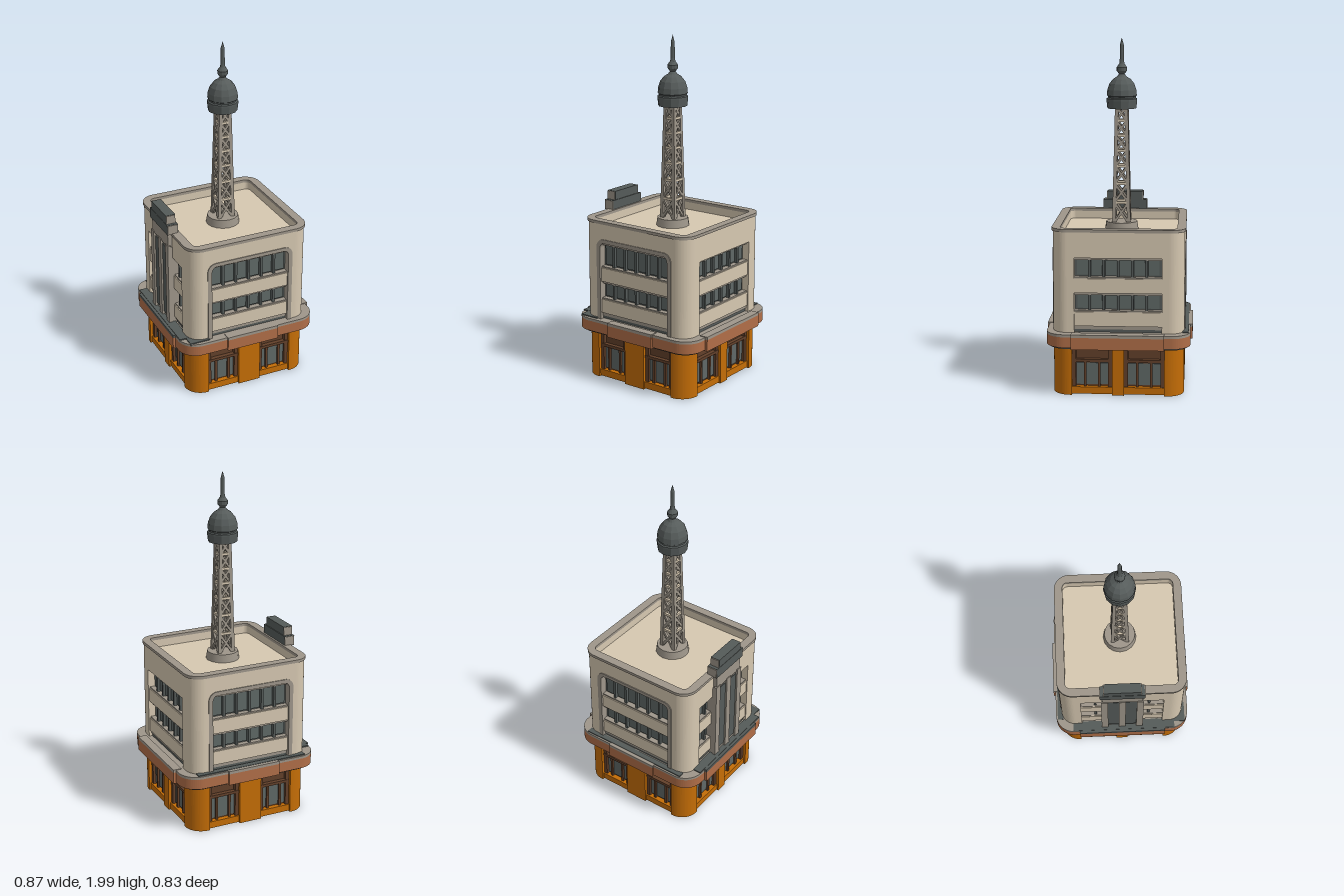
import * as THREE from 'three';

const mat = (name, color, side = THREE.FrontSide) => {
  const m = new THREE.MeshStandardMaterial({ color, side });
  m.name = name;
  return m;
};

export function createModel() {
  const wall = mat('beige wall', 0xd6c8b1);
  const trim = mat('taupe trim', 0x9e968a);
  const dark = mat('dark grey metal', 0x555b59);
  const orange = mat('orange ground floor', 0xc46d06);
  const canopyBrown = mat('brown canopy', 0xb06e48);
  const frameBrown = mat('dark brown frame', 0x62402a);
  const glass = mat('grey glass', 0x5f6866);
  const spireMat = mat('dark grey spire', 0x565c5b);
  spireMat.flatShading = true;

  const model = new THREE.Group();
  model.name = 'tower building';

  const add = (parent, name, geo, material, x = 0, y = 0, z = 0) => {
    const m = new THREE.Mesh(geo, material);
    m.name = name;
    m.position.set(x, y, z);
    parent.add(m);
    return m;
  };
  // Box given by its limits on each axis
  const box = (parent, name, material, x0, x1, y0, y1, z0, z1) =>
    add(parent, name, new THREE.BoxGeometry(x1 - x0, y1 - y0, z1 - z0), material,
      (x0 + x1) / 2, (y0 + y1) / 2, (z0 + z1) / 2);
  const group = (name, turn = 0) => {
    const g = new THREE.Group();
    g.name = name;
    g.rotation.y = turn * Math.PI / 2;
    model.add(g);
    return g;
  };
  const roundRect = (path, w, d, r) => {
    path.absarc(w - r, d - r, r, 0, Math.PI / 2);
    path.absarc(r - w, d - r, r, Math.PI / 2, Math.PI);
    path.absarc(r - w, r - d, r, Math.PI, Math.PI * 1.5);
    path.absarc(w - r, r - d, r, Math.PI * 1.5, Math.PI * 2);
    path.closePath();
    return path;
  };
  const upright = (shape, height) => new THREE.ExtrudeGeometry(shape,
    { depth: height, bevelEnabled: false, curveSegments: 8 }).rotateX(-Math.PI / 2);
  // Rounded square ring between two heights
  const ring = (name, material, w, d, r, inner, innerR, y0, y1) => {
    const s = roundRect(new THREE.Shape(), w, d, r);
    if (inner) s.holes.push(roundRect(new THREE.Path(), inner, inner, innerR));
    return add(model, name, upright(s, y1 - y0), material, 0, y0);
  };
  // Four rounded corner walls left between the openings
  const corners = (name, material, open, out, inn, r, y0, y1) => {
    const s = new THREE.Shape();
    s.moveTo(open, inn);
    s.lineTo(inn, inn);
    s.lineTo(inn, open);
    s.lineTo(out, open);
    s.absarc(out - r, out - r, r, 0, Math.PI / 2);
    s.lineTo(open, out);
    s.closePath();
    const geo = upright(s, y1 - y0);
    for (let i = 0; i < 4; i++) add(group(name, i), name, geo, material, 0, y0);
  };

  // Ground floor
  corners('groundCorner', orange, 0.26, 0.37, 0.31, 0.1, 0.01, 0.3);
  for (let i = 0; i < 4; i++) {
    const g = group('shopFront', i);
    const p = i % 2 ? 0.034 : 0.068;
    box(g, 'middlePillar', orange, -p, p, 0.01, 0.3, 0.31, 0.37);
    for (const s of [-1, 1]) {
      const c = s * (0.26 + p) / 2, h = (0.26 - p) / 2;
      box(g, 'windowBacking', frameBrown, c - h, c + h, 0.05, 0.3, 0.318, 0.33);
      box(g, 'sill', orange, c - h, c + h, 0.015, 0.055, 0.315, 0.36);
      box(g, 'transom', frameBrown, c - h, c + h, 0.198, 0.215, 0.325, 0.355);
      box(g, 'header', frameBrown, c - h, c + h, 0.275, 0.3, 0.32, 0.36);
      for (const side of [-1, 1]) {
        const e = c + side * (h - 0.011), m = c + side * 0.04;
        box(g, 'jamb', frameBrown, e - 0.011, e + 0.011, 0.05, 0.29, 0.325, 0.352);
        box(g, 'mullion', frameBrown, m - 0.007, m + 0.007, 0.05, 0.21, 0.325, 0.348);
      }
      box(g, 'pane', glass, c - h + 0.02, c + h - 0.02, 0.065, 0.19, 0.328, 0.336);
      box(g, 'innerPane', glass, c - h + 0.03, c + h - 0.03, 0.065, 0.19, 0.312, 0.32);
    }
  }

  // Canopy
  ring('canopySoffit', dark, 0.405, 0.39, 0.1, 0.3, 0.03, 0.288, 0.3);
  ring('canopyLiner', dark, 0.303, 0.303, 0.03, 0.296, 0.03, 0.288, 0.374);
  ring('canopyBand', canopyBrown, 0.42, 0.405, 0.11, 0.301, 0.03, 0.298, 0.358);
  ring('canopyTop', trim, 0.42, 0.405, 0.11, 0.301, 0.03, 0.358, 0.373);
  for (let i = 0; i < 4; i++) {
    const g = group('canopyPlate', i);
    const [w, z] = i % 2 ? [0.26, 0.435] : [0.16, 0.417];
    box(g, 'canopyPlateFace', canopyBrown, -w, w, 0.292, 0.36, z - 0.04, z);
    box(g, 'canopyPlateCap', i === 3 ? dark : trim, -w, w, 0.36, 0.377, z - 0.05, z);
  }
  box(model, 'sideGutter', dark, -0.418, -0.36, 0.365, 0.38, -0.3, 0.32);
  box(model, 'backGutter', dark, -0.34, 0.34, 0.365, 0.379, -0.395, -0.36);
  box(model, 'frontGutter', dark, -0.38, -0.26, 0.365, 0.379, 0.32, 0.385);

  // Upper walls, parapet and roof
  corners('wallCorner', wall, 0.245, 0.37, 0.315, 0.085, 0.36, 0.832);
  ring('upperWall', wall, 0.37, 0.37, 0.085, 0.327, 0.03, 0.83, 0.945);
  ring('parapetCap', trim, 0.376, 0.376, 0.09, 0.327, 0.03, 0.945, 0.962);
  ring('roof', wall, 0.335, 0.335, 0.03, 0, 0, 0.885, 0.9);

  // Window facades
  for (let i = 0; i < 4; i++) {
    const g = group('facade', i);
    const top = i % 2 ? 0.8 : 0.83;
    box(g, 'recess', dark, -0.25, 0.25, 0.37, 0.84, 0.315, 0.327);
    if (i % 2) box(g, 'lintel', wall, -0.246, 0.246, 0.8, 0.832, 0.32, 0.37);
    for (const [y0, y1] of [[0.5, 0.59], [0.69, top - 0.01]]) {
      for (let k = 0; k < 6; k++) {
        const x = -0.2 + k * 0.08;
        box(g, 'pane', glass, x - 0.03, x + 0.03, y0 + 0.008, y1 - 0.008, 0.326, 0.334);
        if (k) box(g, 'mullion', dark, x - 0.047, x - 0.033, y0, y1, 0.326, 0.35);
      }
      box(g, 'windowHead', trim, -0.245, 0.245, y1 - 0.004, y1 + 0.012, 0.325, 0.352);
      box(g, 'balconyBand', wall, -0.245, 0.245, y0 - 0.09, y0 - 0.008, 0.325, 0.364);
      box(g, 'bandLedge', trim, -0.245, 0.245, y0 - 0.01, y0, 0.325, 0.358);
    }
    box(g, 'baseBand', trim, -0.245, 0.245, 0.39, 0.417, 0.325, 0.355);
    box(g, 'baseGap', dark, -0.245, 0.245, 0.37, 0.392, 0.325, 0.35);
    if (i % 2 === 0) {
      // Raised surround with rounded upper corners
      const arch = (p, w, h, r) => {
        p.moveTo(-w, 0.37);
        p.lineTo(w, 0.37);
        p.absarc(w - r, h - r, r, 0, Math.PI / 2);
        p.absarc(r - w, h - r, r, Math.PI / 2, Math.PI);
        p.closePath();
        return p;
      };
      const s = arch(new THREE.Shape(), 0.265, 0.855, 0.05);
      s.holes.push(arch(new THREE.Path(), 0.24, 0.835, 0.035));
      add(g, 'surround', new THREE.ExtrudeGeometry(s, { depth: 0.045, bevelEnabled: false }),
        trim, 0, 0, 0.33);
    }
  }

  // Service shaft on the right wall, rising above the parapet
  const shaft = group('serviceShaft', 3);
  box(shaft, 'shaftBody', trim, -0.12, 0.12, 0.37, 0.87, 0.33, 0.385);
  for (const x of [-0.105, 0, 0.105])
    box(shaft, 'shaftRib', trim, x - 0.02, x + 0.02, 0.37, 0.88, 0.38, 0.4);
  for (const x of [-0.052, 0.052])
    box(shaft, 'shaftGroove', dark, x - 0.033, x + 0.033, 0.4, 0.85, 0.382, 0.39);
  box(shaft, 'shaftHead', trim, -0.115, 0.115, 0.87, 0.965, 0.36, 0.395);
  box(shaft, 'ventBase', dark, -0.128, 0.128, 0.955, 1.015, 0.338, 0.402);
  box(shaft, 'ventTop', dark, -0.105, 0.105, 1.015, 1.066, 0.343, 0.4);
  for (const s of [-1, 1]) {
    box(shaft, 'ventCheek', trim, s * 0.13 - 0.003, s * 0.13 + 0.003, 0.957, 1.013, 0.34, 0.4);
    box(shaft, 'ventCheek', trim, s * 0.107 - 0.003, s * 0.107 + 0.003, 1.015, 1.064, 0.345, 0.398);
  }

  // Lattice mast
  add(model, 'mastBase', new THREE.CylinderGeometry(0.09, 0.097, 0.05, 16), trim, 0, 0.922);
  const mast = group('latticeMast');
  const up = new THREE.Vector3(0, 1, 0);
  const beam = (name, a, b, t, material) => {
    const d = b.clone().sub(a);
    const m = add(mast, name, new THREE.BoxGeometry(t, d.length(), t), material);
    m.position.copy(a).add(b).multiplyScalar(0.5);
    m.quaternion.setFromUnitVectors(up, d.normalize());
  };
  const post = (i, y) => {
    const h = 0.043 - 0.016 * (y - 0.94) / 0.67;
    return new THREE.Vector3(i === 0 || i === 3 ? h : -h, y, i < 2 ? h : -h);
  };
  const levels = [0.94, 1.06, 1.17, 1.27, 1.36, 1.445, 1.53, 1.61];
  for (let i = 0; i < 4; i++) {
    const j = (i + 1) % 4;
    beam('leg', post(i, 0.94), post(i, 1.61), 0.02, trim);
    for (let k = 0; k + 1 < levels.length; k++) {
      const a = levels[k], b = levels[k + 1];
      beam('brace', post(i, a), post(j, b), 0.014, trim);
      beam('brace', post(j, a), post(i, b), 0.014, trim);
      beam('crossbar', post(i, b), post(j, b), 0.014, wall);
    }
  }

  // Domed head and spire
  const profile = [[0, 1.6], [0.083, 1.6], [0.088, 1.645], [0.088, 1.655], [0.08, 1.66],
    [0.08, 1.668], [0.086, 1.672], [0.083, 1.705], [0.071, 1.74], [0.05, 1.766], [0.027, 1.78],
    [0.016, 1.795], [0.029, 1.812], [0.03, 1.832], [0.015, 1.853], [0.012, 1.87], [0.011, 1.96],
    [0, 2]].map(([r, y]) => new THREE.Vector2(r, y));
  add(model, 'domeAndSpire', new THREE.LatheGeometry(profile, 12), spireMat);

  return model;
}
